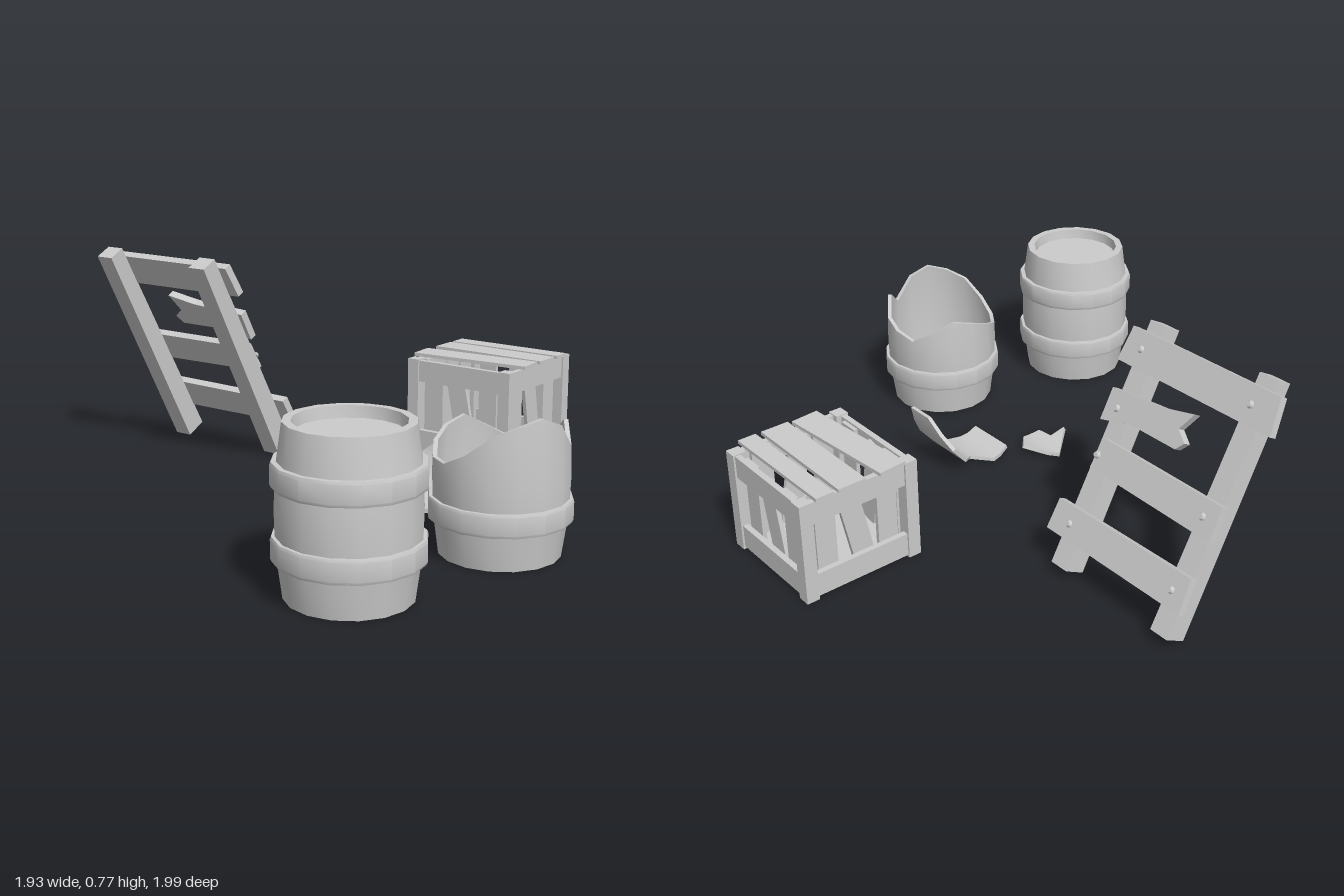
import * as THREE from 'three';
import { toCreasedNormals } from 'three/addons/utils/BufferGeometryUtils.js';

const material = new THREE.MeshStandardMaterial({ color: 0xcccccc });
const SIDES = 16;

function add(parent, name, geometry, x = 0, y = 0, z = 0) {
  const mesh = new THREE.Mesh(geometry, material);
  mesh.name = name;
  mesh.position.set(x, y, z);
  parent.add(mesh);
  return mesh;
}

function addGroup(parent, name, x, y, z) {
  const group = new THREE.Group();
  group.name = name;
  group.position.set(x, y, z);
  parent.add(group);
  return group;
}

const box = (w, h, d) => new THREE.BoxGeometry(w, h, d);
const lathe = (profile) =>
  new THREE.LatheGeometry(profile.map(([r, y]) => new THREE.Vector2(r, y)), SIDES);

// Lower half of a barrel with one hoop
const LOWER = [
  [0, 0], [0.185, 0], [0.2, 0.11], [0.215, 0.11], [0.218, 0.118],
  [0.218, 0.172], [0.215, 0.18], [0.205, 0.18], [0.207, 0.25],
];

function wholeBarrel(parent) {
  const upper = LOWER.slice(1, -1).reverse().map(([r, y]) => [r, 0.5 - y]);
  const geometry = lathe([...LOWER, ...upper, [0.16, 0.5], [0.155, 0.465], [0, 0.465]]);
  add(parent, 'wholeBarrel', toCreasedNormals(geometry, 0.5), -0.75, 0, 0.645);
}

function brokenBarrel(parent) {
  // Splintered rim height for each side, starting at the front and going to +x
  const rim = [0.42, 0.34, 0.40, 0.34, 0.32, 0.30, 0.34, 0.38,
    0.36, 0.33, 0.30, 0.30, 0.34, 0.40, 0.43, 0.45];
  const profile = [...LOWER, [1, 0.4], [1, 0.4], [0.193, 0.25], [0.175, 0.03], [0, 0.03]];
  const geometry = lathe(profile);
  const pos = geometry.attributes.position;
  for (let i = 0; i <= SIDES; i++) {
    const angle = (i / SIDES) * Math.PI * 2;
    const y = rim[i % SIDES];
    for (let k = 0; k < 2; k++) {
      const r = 0.207 - 0.35 * (y - 0.25) ** 2 - k * 0.014;
      pos.setXYZ(i * profile.length + LOWER.length + k, Math.sin(angle) * r, y, Math.cos(angle) * r);
    }
  }
  add(parent, 'brokenBarrel', toCreasedNormals(geometry, 0.5), -0.187, 0, 0.78);
}

// Curved stave fragment; each column is [degrees around the curve, z start, z end]
function shard(parent, name, x, columns) {
  const points = [];
  const index = [];
  columns.forEach(([degrees, z0, z1], i) => {
    const a = THREE.MathUtils.degToRad(degrees);
    for (const [r, z] of [[0.204, z0], [0.204, z1], [0.19, z1], [0.19, z0]]) {
      points.push(Math.sin(a) * r, 0.206 - Math.cos(a) * r, z);
    }
    if (i === 0) return;
    for (let j = 0; j < 4; j++) {
      const a0 = (i - 1) * 4 + j, a1 = (i - 1) * 4 + (j + 1) % 4;
      index.push(a0, a1 + 4, a1, a0, a0 + 4, a1 + 4);
    }
  });
  const e = (columns.length - 1) * 4;
  index.push(0, 1, 2, 0, 2, 3, e, e + 2, e + 1, e, e + 3, e + 2);
  const geometry = new THREE.BufferGeometry();
  geometry.setAttribute('position', new THREE.Float32BufferAttribute(points, 3));
  geometry.setIndex(index);
  add(parent, name, toCreasedNormals(geometry, 0.5), x);
}

function crate(parent) {
  const group = addGroup(parent, 'crate', 0.75, 0, 0.157);
  add(group, 'crateFloor', box(0.41, 0.02, 0.41), 0, 0.015, 0);
  // Four equal sides, each with one corner post
  for (let k = 0; k < 4; k++) {
    const side = addGroup(group, 'crateSide', 0, 0, 0);
    side.rotation.y = k * Math.PI / 2;
    add(side, 'cornerPost', box(0.045, 0.355, 0.045), -0.193, 0.1785, 0.193);
    add(side, 'bottomRail', box(0.345, 0.08, 0.02), 0, 0.05, 0.199);
    add(side, 'topRail', box(0.345, 0.078, 0.02), 0, 0.313, 0.199);
    for (const x of [-0.115, 0.112]) {
      add(side, 'sideSlat', box(0.073, 0.32, 0.014), x, 0.185, 0.182);
    }
    add(side, 'looseSlat', box(0.075, 0.31, 0.014), -0.003, 0.182, 0.181).rotation.z = 0.2;
  }
  // Lid planks: [x, z, width, length, turn]
  for (const [x, z, w, l, turn] of [
    [-0.1, 0, 0.1, 0.45, 0.085], [0.03, 0.002, 0.1, 0.45, 0], [0.13, 0.002, 0.065, 0.45, 0.01],
  ]) {
    add(group, 'lidPlank', box(w, 0.012, l), x, 0.363, z).rotation.y = turn;
  }
}

function fencePanel(parent) {
  const panel = addGroup(parent, 'leaningPanel', 0.243, 0.02, 0);
  panel.rotation.z = 0.493;
  // Rails, thinner towards the top
  for (const z of [-0.445, -0.893]) {
    const rail = box(0.08, 0.83, 0.07);
    const pos = rail.attributes.position;
    for (let i = 0; i < pos.count; i++) {
      if (pos.getY(i) > 0) pos.setX(i, pos.getX(i) * 0.78);
    }
    rail.computeVertexNormals();
    add(panel, 'panelRail', rail, 0, 0.415, z);
  }
  // Slat outlines as [distance towards the back, height along the rails]
  const slats = [
    [[0.36, 0.095], [0.948, 0.092], [0.94, 0.205], [0.365, 0.2]],
    [[0.43, 0.335], [0.946, 0.325], [0.943, 0.435], [0.437, 0.438]],
    [[0.394, 0.484], [0.517, 0.515], [0.705, 0.515], [0.73, 0.544], [0.69, 0.575],
      [0.725, 0.636], [0.61, 0.611], [0.394, 0.593]],
    [[0.367, 0.677], [0.995, 0.677], [0.979, 0.795], [0.378, 0.793]],
  ];
  const nailHeights = [0.145, 0.382, 0.54, 0.737];
  slats.forEach((outline, i) => {
    const shape = new THREE.Shape(outline.map(([u, s]) => new THREE.Vector2(u, s)));
    const geometry = new THREE.ExtrudeGeometry(shape, { depth: 0.028, bevelEnabled: false });
    geometry.rotateY(Math.PI / 2);
    const broken = outline.length > 4;
    add(panel, broken ? 'brokenSlat' : 'panelSlat', geometry, 0.031 + 0.002 * (3 - i));
    for (const z of broken ? [-0.44] : [-0.44, -0.89]) {
      const nail = new THREE.CylinderGeometry(0.008, 0.014, 0.012, 8).rotateZ(-Math.PI / 2);
      add(panel, 'nail', nail, 0.063 + 0.002 * (3 - i), nailHeights[i], z);
    }
  });
}

export function createModel() {
  const model = new THREE.Group();
  model.name = 'brokenGoods';
  wholeBarrel(model);
  brokenBarrel(model);
  shard(model, 'largeShard', 0, [
    [-23, 0.25, 0.43], [-10, 0.235, 0.425], [0, 0.227, 0.425], [20, 0.28, 0.425],
    [37, 0.235, 0.425], [62, 0.23, 0.425], [76, 0.28, 0.432], [90, 0.34, 0.44],
  ]);
  shard(model, 'smallShard', -0.21, [
    [-30, 0.195, 0.2], [-13, 0.15, 0.21], [-11.5, 0.145, 0.27], [3, 0.1, 0.272],
    [11.5, 0.13, 0.27], [30, 0.195, 0.2],
  ]);
  crate(model);
  fencePanel(model);
  return model;
}
